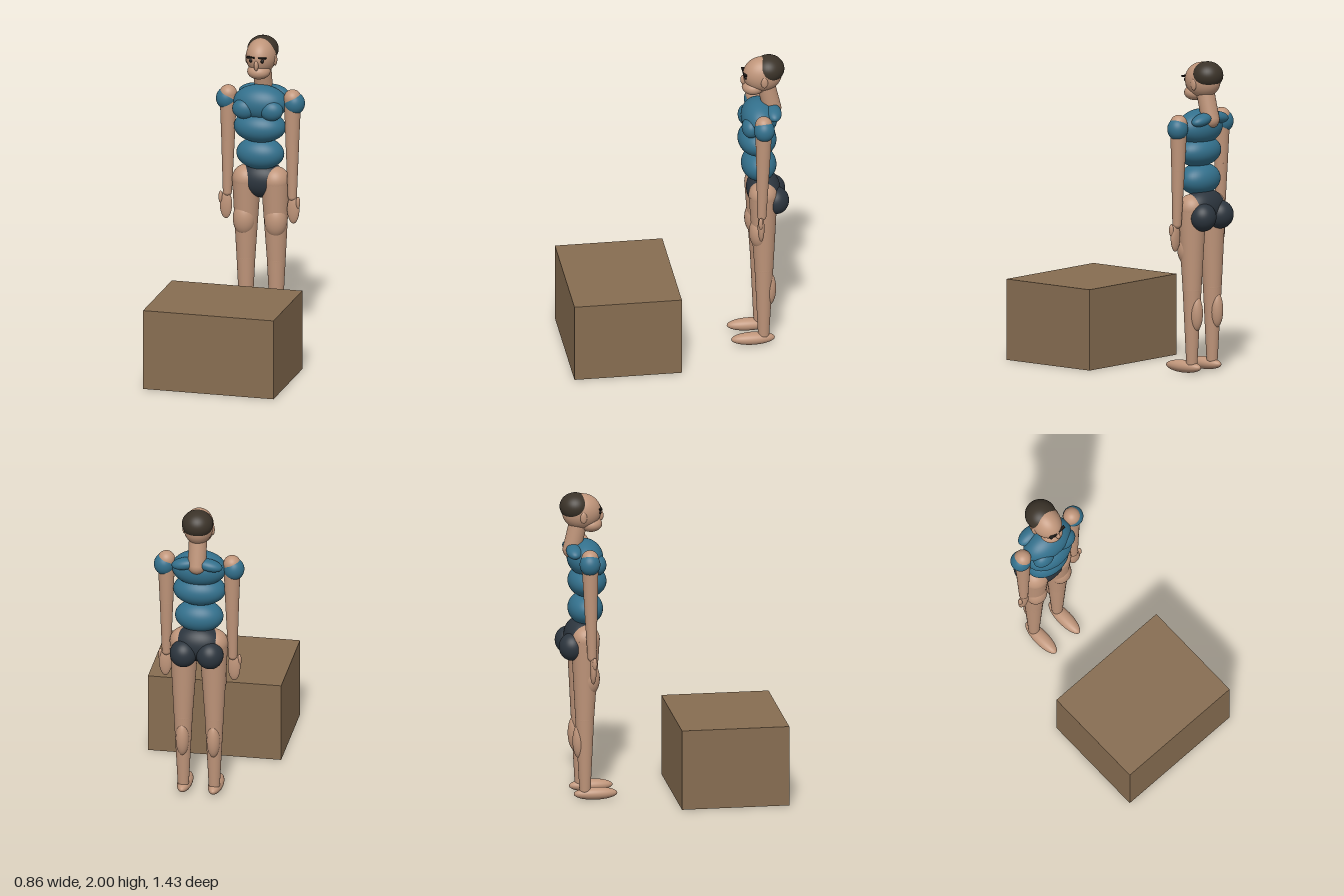
import * as THREE from 'three';

const mat = (name, color) => {
  const m = new THREE.MeshStandardMaterial({ color });
  m.name = name;
  return m;
};

export function createModel() {
  const model = new THREE.Group();
  model.name = 'standingFigureAndBlock';
  const skin = mat('skin', 0xbf957a);
  const shirt = mat('blue shirt', 0x33708c);
  const shorts = mat('dark shorts', 0x2c353e);
  const hair = mat('hair', 0x3b3329);
  const ink = mat('eye black', 0x1c1714);
  const wood = mat('brown block', 0x876d51);
  const ball = new THREE.SphereGeometry(1, 40, 28);

  const add = (name, geo, material, pos) => {
    const m = new THREE.Mesh(geo, material);
    m.name = name;
    m.position.set(...pos);
    model.add(m);
    return m;
  };
  const blob = (name, material, pos, r, tilt = 0) => {
    const m = add(name, ball, material, pos);
    m.scale.set(...r);
    m.rotation.z = tilt;
    return m;
  };
  // tapered limb segment from point a to point b with rounded ends
  const limb = (name, material, a, ra, b, rb) => {
    const A = new THREE.Vector3(...a), B = new THREE.Vector3(...b);
    const d = B.clone().sub(A);
    const m = add(name, new THREE.CylinderGeometry(rb, ra, d.length(), 32), material,
      A.clone().add(B).multiplyScalar(0.5).toArray());
    m.quaternion.setFromUnitVectors(new THREE.Vector3(0, 1, 0), d.normalize());
    blob(name + 'Start', material, a, [ra, ra, ra]);
    blob(name + 'End', material, b, [rb, rb, rb]);
  };

  // block in front of the figure
  add('block', new THREE.BoxGeometry(0.86, 0.52, 0.69), wood, [0, 0.26, 0.37]);

  // head
  blob('skull', skin, [0, 1.878, -0.555], [0.096, 0.115, 0.125]);
  blob('hairCap', hair, [0, 1.912, -0.595], [0.1, 0.088, 0.1]);
  blob('jaw', skin, [0, 1.792, -0.495], [0.074, 0.05, 0.072]);
  blob('nose', skin, [0, 1.845, -0.433], [0.014, 0.033, 0.02]);
  limb('neck', skin, [0, 1.63, -0.618], 0.058, [0, 1.78, -0.582], 0.058);

  // torso
  blob('chest', shirt, [0, 1.575, -0.533], [0.176, 0.115, 0.115]);
  blob('ribs', shirt, [0, 1.42, -0.52], [0.169, 0.102, 0.123]);
  blob('abdomen', shirt, [0, 1.24, -0.531], [0.155, 0.104, 0.112]);
  blob('pelvis', shorts, [0, 1.06, -0.56], [0.165, 0.12, 0.108]);

  for (const s of [-1, 1]) {
    const side = s > 0 ? 'left' : 'right';
    const b = (n, m, p, r, t = 0) => blob(side + n, m, [s * p[0], p[1], p[2]], r, s * t);
    const l = (n, a, ra, c, rc) =>
      limb(side + n, skin, [s * a[0], a[1], a[2]], ra, [s * c[0], c[1], c[2]], rc);

    // face details
    b('Ear', skin, [0.092, 1.857, -0.555], [0.012, 0.037, 0.022]);
    b('Eye', ink, [0.037, 1.875, -0.441], [0.012, 0.012, 0.008]);
    add(side + 'Brow', new THREE.BoxGeometry(0.05, 0.009, 0.02), ink, [s * 0.037, 1.897, -0.438]);

    // chest and shoulder muscles
    b('Pectoral', shirt, [0.09, 1.545, -0.466], [0.076, 0.066, 0.056]);
    b('Trapezius', shirt, [0.08, 1.635, -0.615], [0.085, 0.038, 0.05], -0.2);
    b('Deltoid', shirt, [0.225, 1.585, -0.535], [0.066, 0.072, 0.066]);

    // arm and hand
    l('UpperArm', [0.212, 1.62, -0.533], 0.055, [0.212, 1.32, -0.528], 0.043);
    l('Forearm', [0.212, 1.32, -0.528], 0.043, [0.214, 0.97, -0.52], 0.029);
    b('Hand', skin, [0.222, 0.888, -0.514], [0.04, 0.094, 0.021]);
    b('Thumb', skin, [0.255, 0.935, -0.508], [0.014, 0.04, 0.015]);

    // hip, leg and foot
    b('Glute', shorts, [0.085, 1.01, -0.628], [0.087, 0.09, 0.085]);
    l('Thigh', [0.095, 1.06, -0.545], 0.092, [0.1, 0.54, -0.55], 0.06);
    b('FrontThigh', skin, [0.104, 0.8, -0.52], [0.072, 0.11, 0.066]);
    l('Shin', [0.1, 0.54, -0.55], 0.06, [0.1, 0.07, -0.548], 0.036);
    b('Calf', skin, [0.1, 0.39, -0.584], [0.042, 0.115, 0.044]);
    b('Foot', skin, [0.1, 0.04, -0.48], [0.047, 0.04, 0.14]);
  }
  return model;
}
